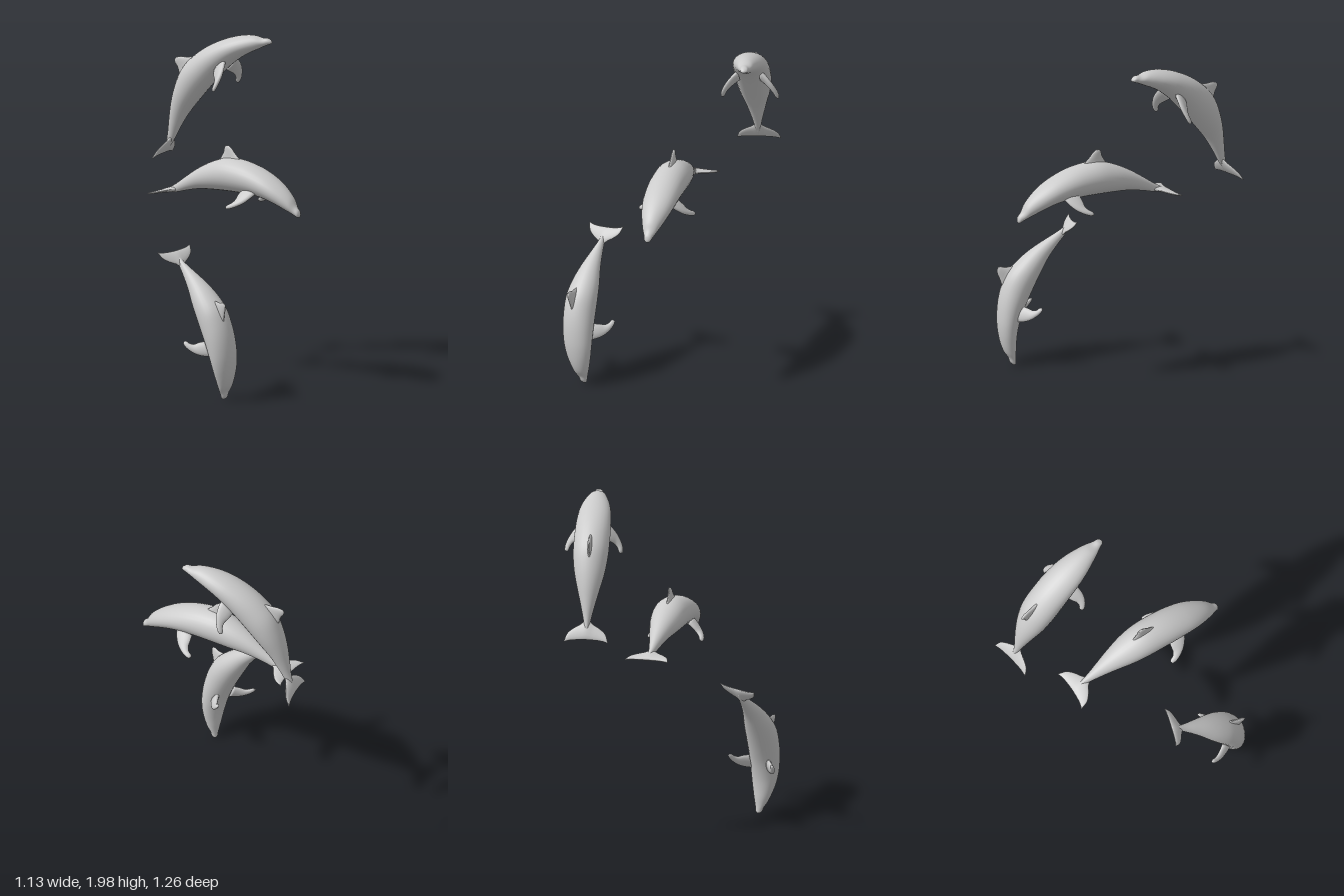
import * as THREE from 'three';

const V = (x, y, z) => new THREE.Vector3(x, y, z);
const material = new THREE.MeshStandardMaterial({ color: 0xcccccc });

// Skin a list of rings (arrays of Vector3) and close both ends with a fan.
function loft(rings) {
  const n = rings[0].length, pos = [], idx = [];
  rings.forEach(r => r.forEach(p => pos.push(p.x, p.y, p.z)));
  for (let i = 0; i < rings.length - 1; i++) {
    for (let j = 0; j < n; j++) {
      const a = i * n + j, b = i * n + (j + 1) % n;
      idx.push(a, a + n, b, b, a + n, b + n);
    }
  }
  [0, rings.length - 1].forEach((k, end) => {
    const c = rings[k].reduce((s, p) => s.add(p), V(0, 0, 0)).divideScalar(n);
    const ci = pos.length / 3;
    pos.push(c.x, c.y, c.z);
    for (let j = 0; j < n; j++) {
      const a = k * n + j, b = k * n + (j + 1) % n;
      end ? idx.push(ci, b, a) : idx.push(ci, a, b);
    }
  });
  const g = new THREE.BufferGeometry();
  g.setAttribute('position', new THREE.Float32BufferAttribute(pos, 3));
  g.setIndex(idx);
  g.computeVertexNormals();
  return g;
}

// Elliptical rings between two edge curves; size() gives the other half axis.
function blade(edgeA, edgeB, sizes, normal, steps, sides) {
  const a = new THREE.CatmullRomCurve3(edgeA), b = new THREE.CatmullRomCurve3(edgeB);
  const s = new THREE.CatmullRomCurve3(sizes.map((w, i) => V(w, i, 0)));
  const rings = [];
  for (let i = 0; i <= steps; i++) {
    const t = i / steps, p = a.getPoint(t), q = b.getPoint(t), w = s.getPoint(t).x;
    const mid = p.clone().add(q).multiplyScalar(0.5), half = p.sub(q).multiplyScalar(0.5);
    rings.push(Array.from({ length: sides }, (_, j) => {
      const u = j / sides * Math.PI * 2;
      return mid.clone().addScaledVector(half, Math.cos(u)).addScaledVector(normal, w * Math.sin(u));
    }));
  }
  return loft(rings);
}

// Body stations: z, back height, belly height, half width
const BODY = [
  [.625, 1.057, 1.044, .006], [.617, 1.078, 1.036, .02], [.595, 1.1, 1.045, .028],
  [.57, 1.143, 1.057, .043], [.53, 1.185, 1.073, .06], [.47, 1.23, 1.098, .08],
  [.4, 1.27, 1.12, .094], [.3, 1.31, 1.136, .102], [.2, 1.332, 1.14, .104],
  [.1, 1.335, 1.14, .102], [0, 1.305, 1.137, .089], [-.1, 1.257, 1.13, .064],
  [-.2, 1.193, 1.11, .037], [-.27, 1.145, 1.092, .02], [-.33, 1.11, 1.083, .008],
];

// Flipper rows: leading x, y, z then trailing x, y, z, half thickness
const FLIPPER = [
  [.07, 1.16, .355, .07, 1.16, .25, .02], [.1, 1.135, .338, .1, 1.135, .245, .017],
  [.13, 1.108, .31, .122, 1.112, .244, .015], [.155, 1.086, .27, .14, 1.094, .228, .013],
  [.167, 1.073, .235, .148, 1.083, .208, .011], [.168, 1.069, .213, .155, 1.075, .204, .006],
];

// Dorsal fin rows: height, leading z, trailing z, half thickness
const DORSAL = [
  [1.28, .25, .02, .022], [1.335, .185, .052, .013], [1.365, .152, .07, .011],
  [1.39, .13, .076, .009], [1.405, .108, .085, .005],
];

// Fluke rows for one side: x, leading z, trailing z, half thickness
const FLUKE = [
  [0, -.25, -.373, .016], [.035, -.281, -.374, .012], [.075, -.306, -.377, .009],
  [.11, -.338, -.384, .007], [.127, -.383, -.391, .003],
];

function createGeometries() {
  const flukeRows = [...FLUKE.slice(1).reverse().map(([x, ...r]) => [-x, ...r]), ...FLUKE];
  const flukeY = z => 1.09 + (z + .373) * .2;
  const parts = {
    // Edge order back-to-belly with a -x half axis keeps the faces outward
    body: blade(BODY.map(r => V(0, r[1], r[0])), BODY.map(r => V(0, r[2], r[0])),
      BODY.map(r => r[3]), V(-1, 0, 0), 56, 28),
    dorsalFin: blade(DORSAL.map(r => V(0, r[0], r[1])), DORSAL.map(r => V(0, r[0], r[2])),
      DORSAL.map(r => r[3]), V(-1, 0, 0), 14, 16),
    tailFlukes: blade(flukeRows.map(r => V(r[0], flukeY(r[1]), r[1])),
      flukeRows.map(r => V(r[0], flukeY(r[2]), r[2])),
      flukeRows.map(r => r[3]), V(0, 1, 0), 32, 14),
  };
  for (const [name, s] of [['leftFlipper', 1], ['rightFlipper', -1]]) {
    parts[name] = blade(FLIPPER.map(r => V(s * r[0], r[1], r[2])), FLIPPER.map(r => V(s * r[3], r[4], r[5])),
      FLIPPER.map(r => r[6]), V(.6, .8 * s, 0), 16, 14);
  }
  return parts;
}

// Orthonormal frame from the tail-to-snout direction and the sideways direction
function frame(chord, side) {
  const c = chord.clone().normalize();
  const x = side.clone().addScaledVector(c, -side.dot(c)).normalize();
  return new THREE.Matrix4().makeBasis(x, c.clone().cross(x), c);
}

const SNOUT = V(0, 1.045, .62), NOTCH = V(0, 1.09, -.373);

// Set a dolphin so that its snout and tail notch meet the given points
function place(dolphin, snout, notch, side) {
  const from = SNOUT.clone().sub(NOTCH), to = snout.clone().sub(notch);
  const scale = to.length() / from.length();
  const m = frame(to, side).multiply(frame(from, V(1, 0, 0)).invert());
  dolphin.quaternion.setFromRotationMatrix(m);
  dolphin.scale.setScalar(scale);
  dolphin.position.copy(snout).sub(SNOUT.clone().multiplyScalar(scale).applyQuaternion(dolphin.quaternion));
}

export function createModel() {
  const model = new THREE.Group();
  model.name = 'leapingDolphins';
  const parts = createGeometries();
  const poses = [
    ['divingDolphin', V(-.42, .012, .41), V(-.405, .84, .04), V(.957, .13, .26)],
    ['middleDolphin', V(.024, 1.045, .62), V(.024, 1.09, -.373), V(1, 0, 0)],
    ['risingDolphin', V(.447, 1.955, .093), V(.327, 1.245, -.6), V(.98, 0, -.2)],
  ];
  for (const [name, snout, notch, side] of poses) {
    const dolphin = new THREE.Group();
    dolphin.name = name;
    for (const [part, geometry] of Object.entries(parts)) {
      const mesh = new THREE.Mesh(geometry, material);
      mesh.name = part;
      dolphin.add(mesh);
    }
    place(dolphin, snout, notch, side);
    model.add(dolphin);
  }
  return model;
}
